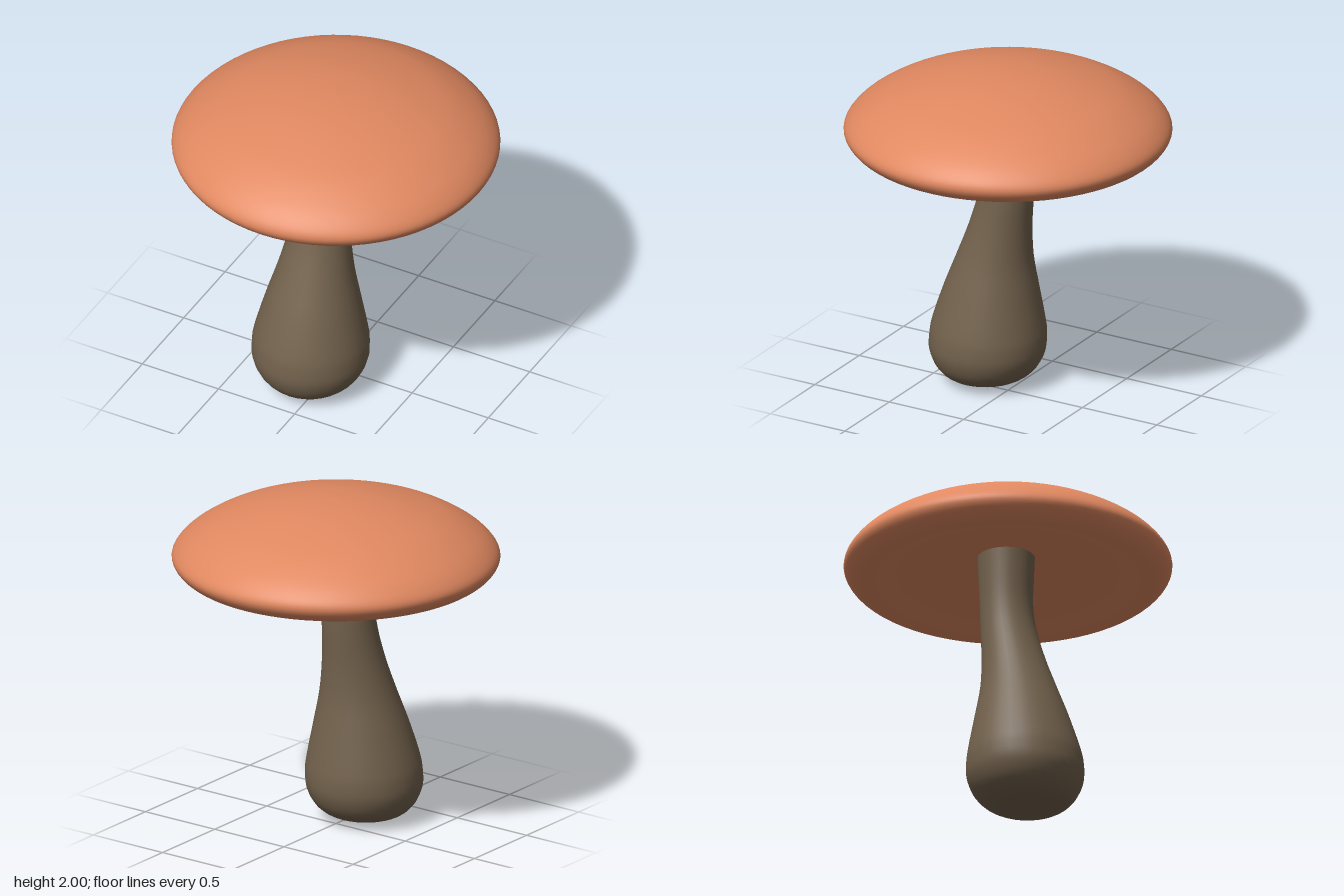
import * as THREE from 'three';
import { mergeVertices } from 'three/addons/utils/BufferGeometryUtils.js';

const smoothProfile = (points, steps) =>
  new THREE.SplineCurve(points.map(([r, y]) => new THREE.Vector2(r, y))).getPoints(steps)
    .map((p) => p.setX(Math.max(0, p.x)));

// Weld the seam of a revolved shape and smooth it
function weld(geometry) {
  geometry.deleteAttribute('uv');
  geometry.deleteAttribute('normal');
  const welded = mergeVertices(geometry, 1e-5);
  welded.computeVertexNormals();
  return welded;
}

// Domed cap: hollow underside, rounded rim, full dome
function makeCap() {
  const profile = smoothProfile([
    [0, 1.67], [0.2, 1.663], [0.4, 1.643], [0.6, 1.605], [0.74, 1.561], [0.82, 1.541],
    [0.88, 1.558], [0.93, 1.6], [0.949, 1.65], [0.922, 1.705], [0.85, 1.772], [0.73, 1.844],
    [0.6, 1.898], [0.4, 1.954], [0.2, 1.988], [0, 2],
  ], 60);
  return weld(new THREE.LatheGeometry(profile, 72));
}

// Bulbous stem leaning along a bent centre line
function makeStem() {
  // radius, height, centre x, centre z
  const stations = [
    [0, 0.003, -0.07, 0.2], [0.19, 0.035, -0.07, 0.195], [0.285, 0.1, -0.07, 0.185],
    [0.335, 0.2, -0.07, 0.18], [0.341, 0.3, -0.07, 0.175], [0.326, 0.4, -0.07, 0.17],
    [0.277, 0.6, -0.068, 0.152], [0.224, 0.8, -0.065, 0.126], [0.185, 1, -0.063, 0.088],
    [0.162, 1.2, -0.062, 0.05], [0.155, 1.36, -0.062, 0.035], [0.161, 1.54, -0.06, 0.032],
    [0.168, 1.7, -0.06, 0.032],
  ];
  const profile = smoothProfile(stations, 48);
  const centre = new THREE.SplineCurve(stations.map(([, , x, z]) => new THREE.Vector2(x, z))).getPoints(48);
  const geometry = new THREE.LatheGeometry(profile, 32);
  const pos = geometry.attributes.position;
  for (let i = 0; i < pos.count; i++) {
    const c = centre[i % profile.length];
    pos.setXYZ(i, pos.getX(i) + c.x, pos.getY(i), pos.getZ(i) + c.y);
  }
  return weld(geometry);
}

export function createModel() {
  const group = new THREE.Group();
  group.name = 'mushroom';
  const add = (name, geometry, color) => {
    const mesh = new THREE.Mesh(geometry, new THREE.MeshStandardMaterial({ color }));
    mesh.name = name;
    group.add(mesh);
  };
  add('cap', makeCap(), 0xe08860);
  add('stem', makeStem(), 0x73624d);
  return group;
}
